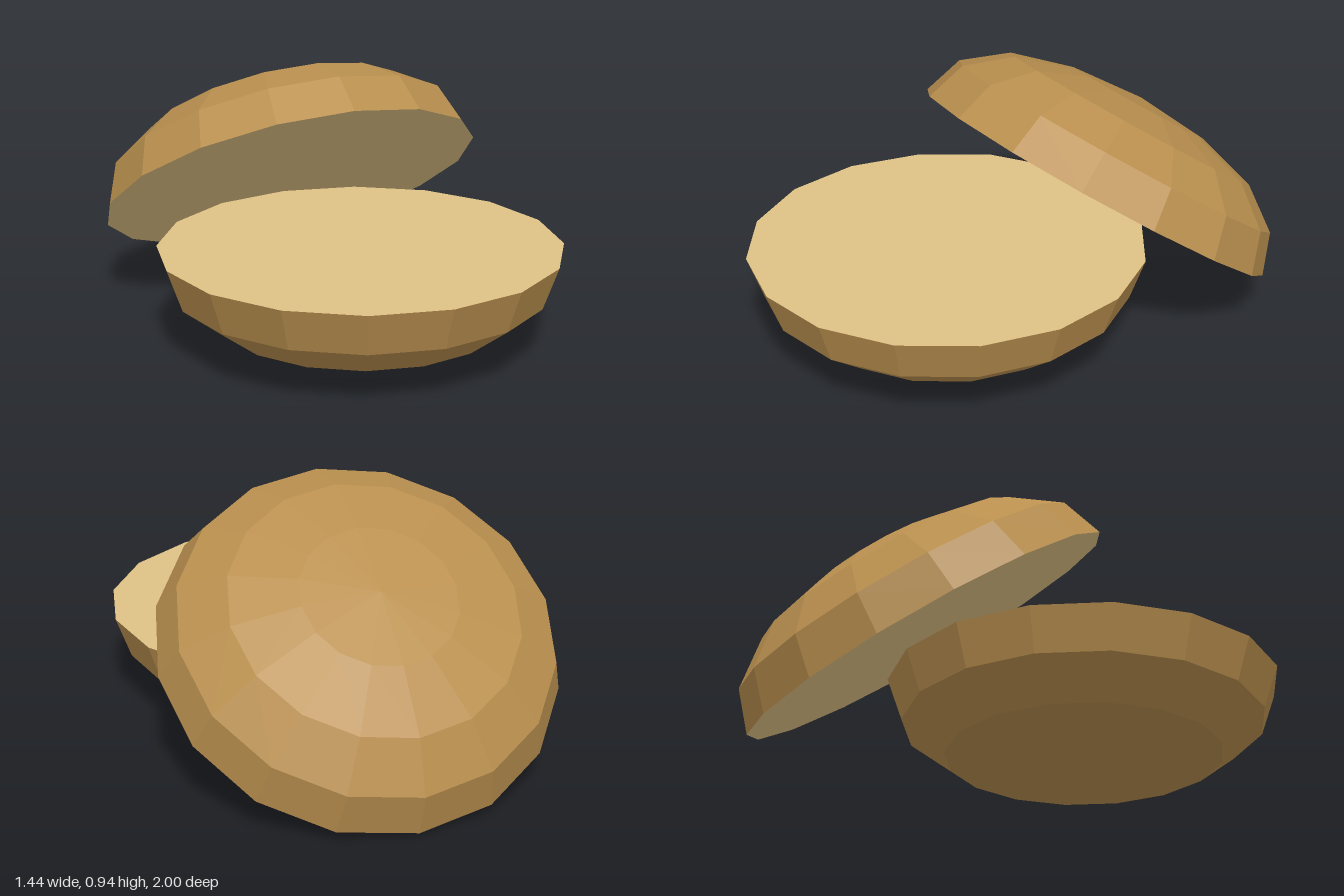
import * as THREE from 'three';

const SIDES = 16;
const RADIUS = 0.72;
const TILT = 0.61;

const crustMaterial = new THREE.MeshStandardMaterial({ color: 0xb98f4e, flatShading: true });
const crumbMaterial = new THREE.MeshStandardMaterial({ color: 0xdec184, flatShading: true });

// One half: rounded crust hanging below a flat cut face at y = 0
function createHalf(name) {
  const half = new THREE.Group();
  half.name = name;

  const profile = [[0, -0.362], [0.276, -0.339], [0.509, -0.273], [0.666, -0.154], [RADIUS, 0]]
    .map(([r, y]) => new THREE.Vector2(r, y));
  const crust = new THREE.Mesh(new THREE.LatheGeometry(profile, SIDES), crustMaterial);
  crust.name = name + 'Crust';

  const face = new THREE.Mesh(new THREE.CircleGeometry(RADIUS, SIDES), crumbMaterial);
  face.name = name + 'CutFace';
  face.rotation.x = -Math.PI / 2;

  half.add(crust, face);
  return half;
}

export function createModel() {
  const model = new THREE.Group();
  model.name = 'openRoundShell';

  // Lower half rests on the ground
  const bottom = createHalf('bottomHalf');
  bottom.position.set(0, 0.362, 0.28);

  // Upper half is turned over and tipped back
  const top = createHalf('topHalf');
  top.position.set(0, 0.422, -0.365);
  top.rotation.x = Math.PI - TILT;

  model.add(bottom, top);
  return model;
}
